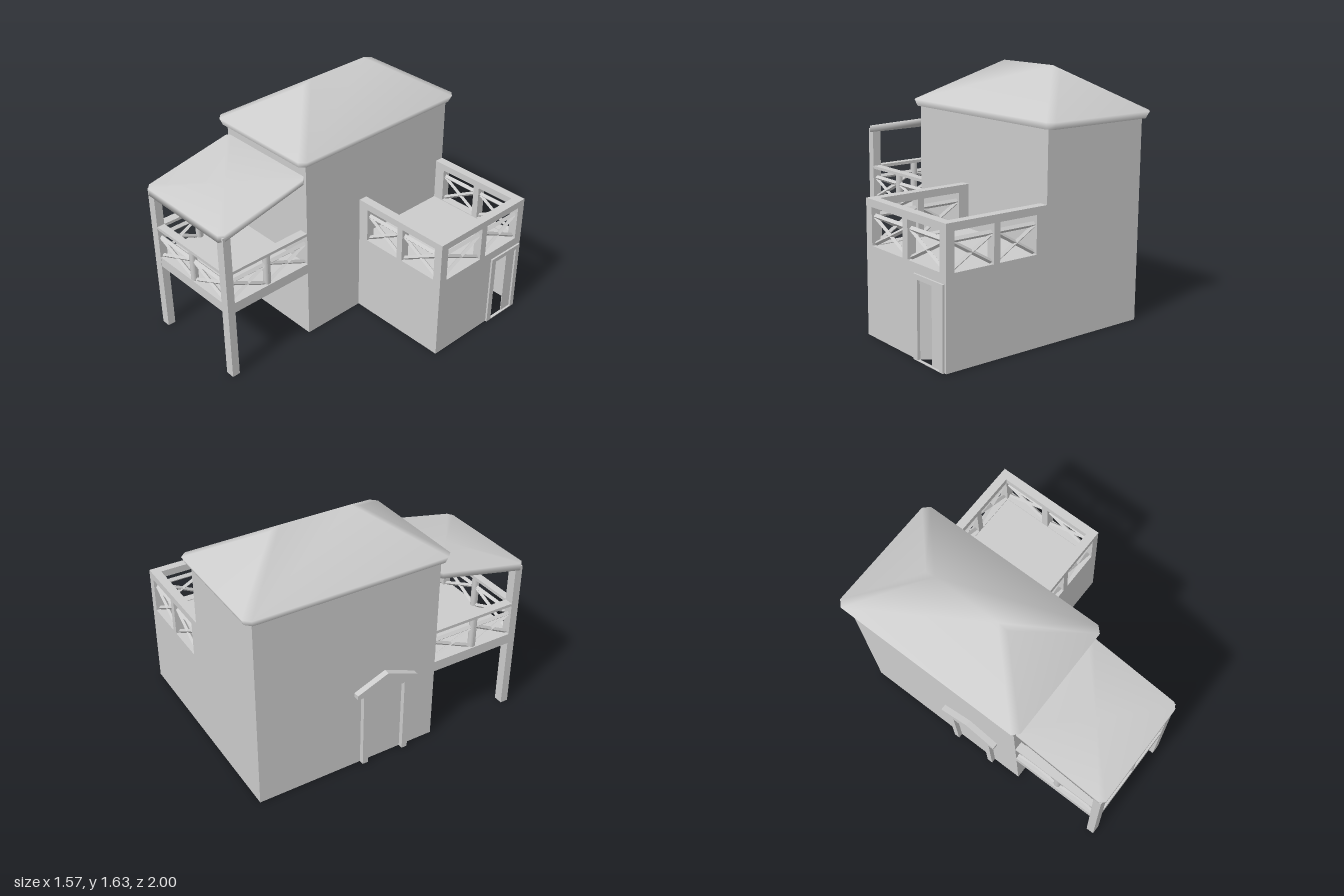
import * as THREE from 'three';
import { mergeVertices, toCreasedNormals } from 'three/addons/utils/BufferGeometryUtils.js';

const grey = new THREE.MeshStandardMaterial({ color: 0xcccccc });
const thinGrey = new THREE.MeshStandardMaterial({ color: 0xcccccc, side: THREE.DoubleSide });

function add(parent, name, geometry, x = 0, y = 0, z = 0, material = grey) {
  const mesh = new THREE.Mesh(geometry, material);
  mesh.name = name;
  mesh.position.set(x, y, z);
  parent.add(mesh);
  return mesh;
}

// Box given by its minimum and maximum on each axis
function block(parent, name, x0, x1, y0, y1, z0, z1) {
  return add(parent, name, new THREE.BoxGeometry(x1 - x0, y1 - y0, z1 - z0),
    (x0 + x1) / 2, (y0 + y1) / 2, (z0 + z1) / 2);
}

// Hollow box keeping only some sides (0 right, 1 left, 2 top, 3 bottom, 4 front, 5 back)
function shell(parent, name, sides, ...bounds) {
  const mesh = block(parent, name, ...bounds);
  const index = [...mesh.geometry.index.array];
  mesh.geometry.setIndex(index.filter((_, i) => sides.includes(Math.floor(i / 6))));
  mesh.geometry.clearGroups();
  mesh.material = thinGrey;
}

// Flat panel with rectangular holes, each [x0, x1, y0, y1]
function panel(outline, holes, depth) {
  const trace = (path, [x0, x1, y0, y1]) =>
    path.moveTo(x0, y0).lineTo(x1, y0).lineTo(x1, y1).lineTo(x0, y1).closePath();
  const shape = trace(new THREE.Shape(), outline);
  holes.forEach((h) => shape.holes.push(trace(new THREE.Path(), h)));
  return new THREE.ExtrudeGeometry(shape, { depth, bevelEnabled: false });
}

// Rectangle with cut corners, anticlockwise from above; y is a function of z
function cutRing(x0, x1, z0, z1, c, y) {
  return [
    [x1, z1 - c], [x1, z0 + c], [x1 - c, z0], [x0 + c, z0],
    [x0, z0 + c], [x0, z1 - c], [x0 + c, z1], [x1 - c, z1],
  ].map(([x, z]) => [x, y(z), z]);
}

// Smooth skin over a stack of rings from bottom to top
function loft(rings) {
  const pos = [], index = [], n = rings[0].length;
  rings.forEach((ring) => ring.forEach((p) => pos.push(...p)));
  for (let r = 0; r < rings.length - 1; r++) {
    for (let i = 0; i < n; i++) {
      const a = r * n + i, b = r * n + (i + 1) % n;
      index.push(a, b, b + n, a, b + n, a + n);
    }
  }
  const g = new THREE.BufferGeometry();
  g.setAttribute('position', new THREE.Float32BufferAttribute(pos, 3));
  g.setIndex(index);
  const merged = mergeVertices(g);
  merged.computeVertexNormals();
  return merged;
}

const collapse = (p) => Array(8).fill(p);

// Bar between two points, square on edge unless more sides are given
function bar(parent, name, a, b, radius, sides = 4) {
  const from = new THREE.Vector3(...a), to = new THREE.Vector3(...b);
  const dir = to.clone().sub(from);
  const geometry = new THREE.CylinderGeometry(radius, radius, dir.length(), sides);
  const mesh = add(parent, name, toCreasedNormals(geometry, 0.9));
  mesh.position.copy(from).add(to).multiplyScalar(0.5);
  mesh.quaternion.setFromUnitVectors(new THREE.Vector3(0, 1, 0), dir.normalize());
}

// Crossed braces below a handrail, from (xa, za) to (xb, zb)
function crossPanel(parent, xa, za, xb, zb, y0, y1) {
  bar(parent, 'brace', [xa, y0, za], [xb, y1, zb], 0.014);
  bar(parent, 'brace', [xa, y1, za], [xb, y0, zb], 0.014);
  bar(parent, 'handrail', [xa, y1 + 0.01, za], [xb, y1 + 0.01, zb], 0.017);
}

function group(parent, name) {
  const g = new THREE.Group();
  g.name = name;
  parent.add(g);
  return g;
}

export function createModel() {
  const model = new THREE.Group();
  model.name = 'house';
  const L = -0.742, R = 0.036, BACK = -0.94, FRONT = 0.33, MID = -0.355;

  // Main block, open below, and its hipped roof
  shell(model, 'mainBlock', [0, 1, 4, 5], L, R, 0, 1.32, BACK, FRONT);
  const roof = group(model, 'mainRoof');
  const eave = cutRing(-0.767, 0.055, -0.98, 0.375, 0.035, () => 1.315);
  const apexF = [MID, 1.63, -0.07], apexB = [MID, 1.63, -0.54];
  const hipF = [MID, 1.605, 0], hipB = [MID, 1.605, -0.61];
  add(roof, 'roofSlopes', loft([
    eave,
    cutRing(-0.785, 0.073, -1, 0.39, 0.04, () => 1.36),
    [apexF, apexB, hipB, hipB, apexB, apexF, hipF, hipF],
  ]));
  add(roof, 'roofUnderside', loft([collapse([MID, 1.315, -0.305]), eave]));

  // Side wing: hollow base under a terrace with pierced parapets
  const wing = group(model, 'wing');
  const W = 0.772, WF = -0.135, T = 0.06, DECK = 0.575, TOP = 0.868;
  shell(wing, 'wingBase', [2, 4, 5], R, W, 0, DECK, BACK, WF);
  const xOpenings = [[0.112, 0.387], [0.432, 0.712]];
  const zOpenings = [[0.195, 0.52], [0.57, 0.885]];
  const withHeight = (list) => list.map(([a, b]) => [a, b, 0.58, 0.82]);
  for (const [name, z] of [['frontParapet', WF - T], ['backParapet', BACK]]) {
    add(wing, name, panel([R, W, DECK, TOP], withHeight(xOpenings), T), 0, 0, z);
    xOpenings.forEach(([a, b]) => crossPanel(wing, a, z + T / 2, b, z + T / 2, 0.59, 0.75));
  }
  const sidePanel = (name, outline, holes, depth, x) => {
    add(wing, name, panel(outline, holes, depth), x).rotation.y = Math.PI / 2;
  };
  sidePanel('sideParapet', [-WF, -BACK, DECK, TOP], withHeight(zOpenings), T, W - T);
  zOpenings.forEach(([a, b]) => crossPanel(wing, W - T / 2, -a, W - T / 2, -b, 0.59, 0.75));

  // Wing side wall, door frame and a leaf standing ajar inwards
  sidePanel('wingSideWall', [-WF, -BACK, 0, DECK], [[0.68, 0.805, 0.004, 0.49]], 0.005, W - 0.005);
  sidePanel('wingDoorFrame', [0.64, 0.925, 0, 0.52], [[0.68, 0.89, 0.004, 0.49]], 0.02, 0.765);
  const hinge = group(wing, 'wingDoor');
  hinge.position.set(0.765, 0, -0.68);
  hinge.rotation.y = 0.93;
  block(hinge, 'doorLeaf', -0.015, 0, 0.004, 0.488, -0.205, 0);

  // Side entrance with a small solid gable
  const entry = group(model, 'sideEntrance');
  for (const z of [-0.2, 0.1]) block(entry, 'entrancePost', -0.775, L, 0, 0.58, z - 0.02, z + 0.02);
  const gable = new THREE.Shape([
    [-0.22, 0.54], [0.22, 0.54], [0.22, 0.57], [0, 0.66], [-0.22, 0.57],
  ].map((p) => new THREE.Vector2(...p)));
  add(entry, 'entranceGable', new THREE.ExtrudeGeometry(gable, { depth: 0.045, bevelEnabled: false }),
    -0.783, 0, -0.05).rotation.y = Math.PI / 2;

  // Raised veranda: posts, deck and railings
  const veranda = group(model, 'veranda');
  const Z0 = 0.93, Z1 = 0.985, PW = 0.063, midZ = 0.645, midX = -0.338;
  for (const x of [L, R - PW]) block(veranda, 'post', x, x + PW, 0, 1.08, Z0, Z1);
  block(veranda, 'deck', L, R, 0.5, 0.572, FRONT, Z1 - 0.002);
  block(veranda, 'frontTopRail', L + PW, R - PW, 0.79, 0.812, Z0, Z1 - 0.002);
  const cz = (Z0 + Z1) / 2;
  bar(veranda, 'railPost', [midX, 0.57, cz], [midX, 0.8, cz], 0.025, 10);
  crossPanel(veranda, L + PW, cz, midX - 0.025, cz, 0.58, 0.71);
  crossPanel(veranda, midX + 0.025, cz, R - PW, cz, 0.58, 0.71);
  for (const x of [L + PW / 2, R - PW / 2]) {
    block(veranda, 'sideTopRail', x - 0.03, x + 0.03, 0.79, 0.81, FRONT, Z0);
    bar(veranda, 'railPost', [x, 0.57, midZ], [x, 0.8, midZ], 0.025, 10);
    crossPanel(veranda, x, FRONT, x, midZ - 0.025, 0.58, 0.71);
    crossPanel(veranda, x, midZ + 0.025, x, Z0, 0.58, 0.71);
  }

  // Sloping veranda roof meeting the main block
  const under = (z) => 1.045 + (1 - z) * 0.22;
  const over = (z) => 1.095 + (1 - z) * 0.2;
  const ring = (y) => cutRing(L, R, 0.32, 1, 0.03, y);
  add(veranda, 'verandaRoof', loft([
    collapse([MID, under(0.66), 0.66]), ring(under), ring(over),
    collapse([MID, over(0.66), 0.66]),
  ]));

  return model;
}
